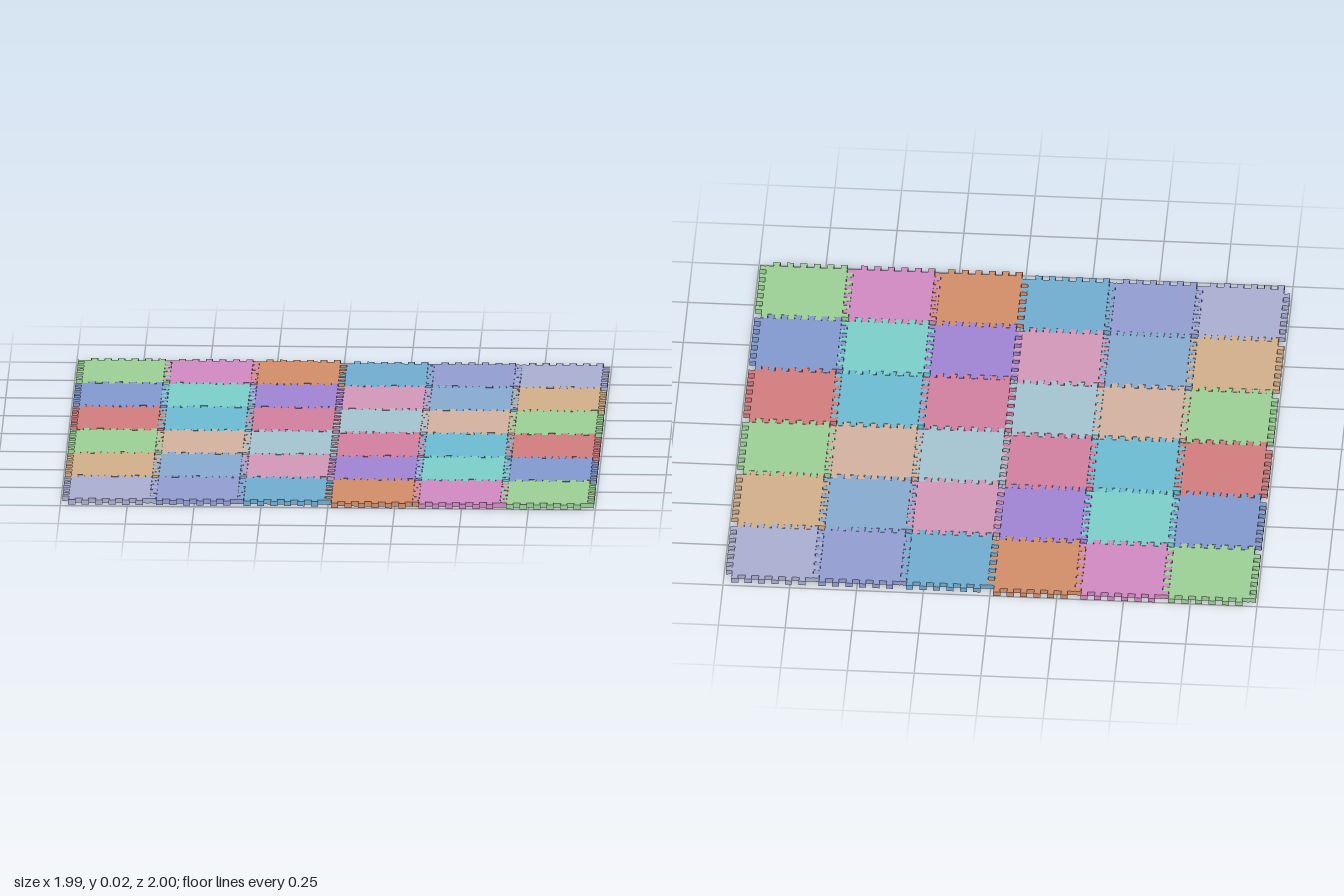
import * as THREE from 'three';

const COLUMN = 0.3275, ROW = 0.326;   // tile spacing across and along
const DEPTH = 0.025;                  // how far the teeth reach
const THICK = 0.018;
const SLOTS = 12;                     // tooth, gap, tooth, gap ... per edge

// Colours of the left half, back row first; the right half is it turned by 180 degrees
const COLOURS = [
  [0xa5dc9f, 0xdd92ce, 0xde9670],
  [0x8aa3dc, 0x82dbd6, 0xa98be0],
  [0xde8484, 0x74c7de, 0xdf88a9],
  [0xa5dc9f, 0xe0bda9, 0xaecfdd],
  [0xdeb992, 0x8fb5dc, 0xdfa0c4],
  [0xb5b9dd, 0x9ca7dd, 0x78b7dc],
];

// Square with dovetail teeth; teeth of one edge fit the gaps of the opposite one
function tileGeometry() {
  const core = (COLUMN - DEPTH) / 2, slot = (2 * core) / SLOTS;
  const points = [];
  for (let side = 0; side < 4; side++) {
    const turn = (side * Math.PI) / 2;
    const add = (along, out) =>
      points.push(new THREE.Vector2(along, -core - out).rotateAround(new THREE.Vector2(), turn));
    add(-core, 0);
    for (let i = 0; i < SLOTS; i += 2) {
      const mid = -core + (i + 0.5) * slot;
      add(mid - 0.42 * slot, 0);
      add(mid - 0.54 * slot, DEPTH - 0.001);
      add(mid + 0.54 * slot, DEPTH - 0.001);
      add(mid + 0.42 * slot, 0);
    }
  }
  const geometry = new THREE.ExtrudeGeometry(new THREE.Shape(points), { depth: THICK, bevelEnabled: false });
  geometry.rotateX(-Math.PI / 2);
  geometry.scale(1, 1, ROW / COLUMN);
  return geometry;
}

export function createModel() {
  const mat = new THREE.Group();
  mat.name = 'puzzleMat';
  const geometry = tileGeometry();

  // Two half mats, slightly shifted against each other
  for (const side of ['left', 'right']) {
    const half = new THREE.Group();
    half.name = side === 'left' ? 'rightHalf' : 'leftHalf';
    COLOURS.forEach((row, r) => row.forEach((colour, c) => {
      const material = new THREE.MeshStandardMaterial({ color: colour });
      material.color.multiplyScalar(0.9);
      const tile = new THREE.Mesh(geometry, material);
      tile.name = `foamTile${r + 1}_${c + 1}`;
      tile.position.set((c - 2.5) * COLUMN, 0, (r - 2.5) * ROW - 0.009);
      half.add(tile);
    }));
    if (side === 'right') half.rotation.y = Math.PI;
    mat.add(half);
  }
  return mat;
}
